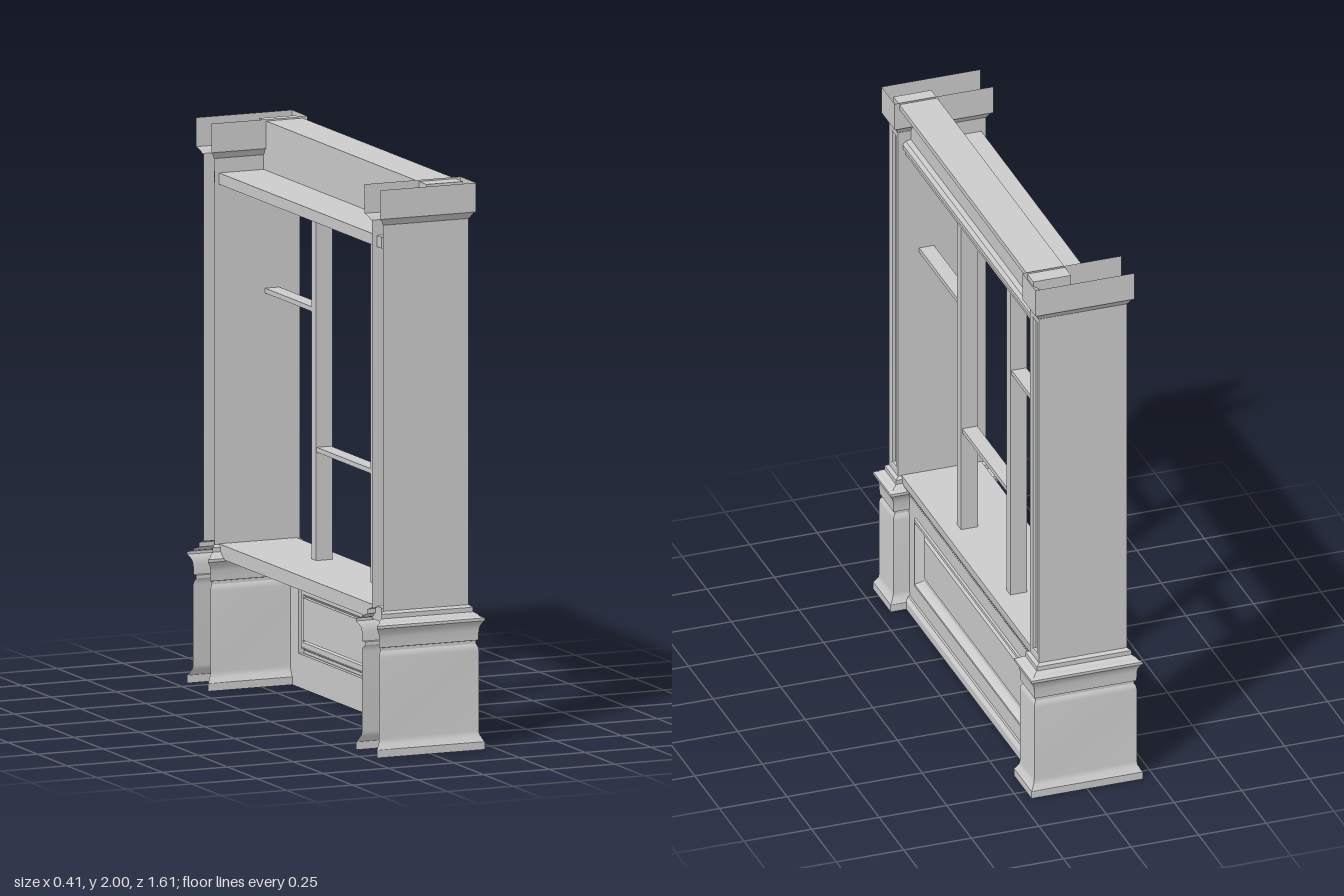
import * as THREE from 'three';
import { toCreasedNormals } from 'three/addons/utils/BufferGeometryUtils.js';

const material = new THREE.MeshStandardMaterial({ color: 0xcccccc, side: THREE.DoubleSide });

function add(parent, name, geometry, x = 0, y = 0, z = 0) {
  const mesh = new THREE.Mesh(geometry, material);
  mesh.name = name;
  mesh.position.set(x, y, z);
  parent.add(mesh);
  return mesh;
}

// Box given by its min/max on each axis
function box(parent, name, [x0, x1], [y0, y1], [z0, z1]) {
  return add(parent, name, new THREE.BoxGeometry(x1 - x0, y1 - y0, z1 - z0),
    (x0 + x1) / 2, (y0 + y1) / 2, (z0 + z1) / 2);
}

// Mitred moulding round a rectangle; profile is [offset, height].
// Sides: 0 = +z, 1 = +x, 2 = -z, 3 = -x
function rectSweep(profile, hx, hz, sides) {
  const corners = [[-1, 1], [1, 1], [1, -1], [-1, -1]];
  const pos = [];
  const point = (c, [o, y]) => [c[0] * (hx + o), y, c[1] * (hz + o)];
  for (const s of sides) {
    const a = corners[s], b = corners[(s + 1) % 4];
    for (let i = 0; i < profile.length - 1; i++) {
      const p = profile[i], q = profile[i + 1];
      const A = point(a, p), B = point(b, p), C = point(b, q), D = point(a, q);
      pos.push(...A, ...B, ...C, ...A, ...C, ...D);
    }
  }
  const g = new THREE.BufferGeometry();
  g.setAttribute('position', new THREE.Float32BufferAttribute(pos, 3));
  return toCreasedNormals(g, 0.5);
}

// Cross-section in x, y run along z
function run(points, length) {
  const shape = new THREE.Shape(points.map(([x, y]) => new THREE.Vector2(x, y)));
  const g = new THREE.ExtrudeGeometry(shape, { depth: length, bevelEnabled: false });
  g.translate(0, 0, -length / 2);
  return toCreasedNormals(g, 0.5);
}

// Flat frame facing +x with a rectangular opening
function frame(hz, y0, y1, holeZ, h0, h1, depth) {
  const rect = (Type, w, a, b) => new Type([[-w, a], [w, a], [w, b], [-w, b]]
    .map(([x, y]) => new THREE.Vector2(x, y)));
  const shape = rect(THREE.Shape, hz, y0, y1);
  shape.holes.push(rect(THREE.Path, holeZ, h0, h1));
  const g = new THREE.ExtrudeGeometry(shape, { depth, bevelEnabled: false });
  return g.rotateY(Math.PI / 2);
}

// Hollow column, open at the back
function createColumn() {
  const column = new THREE.Group();
  column.name = 'column';
  const hx = 0.163, hz = 0.046, open = [0, 1, 2];

  add(column, 'plinth', rectSweep([
    [0.043, 0], [0.043, 0.028], [0.038, 0.035], [0.033, 0.045], [0.029, 0.052], [0.027, 0.065],
    [0.027, 0.35], [0.025, 0.362], [0.019, 0.372], [0.019, 0.383],
  ], hx, hz, open));
  add(column, 'plinthMoulding', rectSweep([
    [0.019, 0.383], [0.026, 0.385], [0.027, 0.42], [0.03, 0.435], [0.036, 0.447], [0.043, 0.455],
    [0.043, 0.465], [0.03, 0.47], [0.024, 0.478], [0.012, 0.484], [0.012, 0.5], [0, 0.508],
  ], hx, hz, open));
  add(column, 'shaftSides', rectSweep([[0, 0.505], [0, 1.875]], hx, hz, [0, 2]));

  // Front face with a sunken panel
  add(column, 'shaftFront', frame(hz, 0.505, 1.875, 0.026, 0.527, 1.85, 0.014), hx - 0.014);
  const bead = rectSweep([[0, 0.001], [0, 0.004], [-0.006, 0.001], [-0.006, -0.012]],
    0.6615, 0.026, [0, 1, 2, 3]).rotateZ(-Math.PI / 2);
  add(column, 'shaftBead', bead, hx - 0.004, 1.1885);
  box(column, 'shaftPanel', [hx - 0.022, hx - 0.014], [0.52, 1.857], [-0.035, 0.035]);

  add(column, 'cap', rectSweep([
    [0, 1.872], [0.004, 1.876], [0.008, 1.885], [0.014, 1.892], [0.02, 1.897], [0.02, 2],
  ], hx, hz, open));
  return column;
}

export function createModel() {
  const model = new THREE.Group();
  model.name = 'displayFrame';

  // Columns at both ends
  for (const side of [-1, 1]) {
    const column = createColumn();
    column.name = side > 0 ? 'leftColumn' : 'rightColumn';
    column.position.z = side * 0.715;
    model.add(column);
  }

  // Bench shelf with moulded front edge
  add(model, 'benchTop', run([
    [-0.145, 0.46], [0.115, 0.46], [0.115, 0.44], [0.132, 0.44], [0.137, 0.452], [0.137, 0.462],
    [0.144, 0.468], [0.15, 0.48], [0.15, 0.51], [-0.145, 0.51],
  ], 1.42));

  // Lower front: frame, moulding and raised field
  add(model, 'lowerFrame', frame(0.69, 0, 0.46, 0.575, 0.12, 0.38, 0.015), 0.115);
  const moulding = rectSweep([
    [0.004, 0.13], [0.002, 0.138], [-0.008, 0.139], [-0.013, 0.13], [-0.02, 0.118], [-0.028, 0.113],
    [-0.045, 0.113], [-0.055, 0.122],
  ], 0.13, 0.575, [0, 1, 2, 3]).rotateZ(-Math.PI / 2);
  add(model, 'panelMoulding', moulding, 0, 0.25);
  box(model, 'panelField', [0.108, 0.122], [0.175, 0.325], [-0.52, 0.52]);
  add(model, 'baseboard', run([
    [0.115, 0], [0.148, 0], [0.148, 0.03], [0.138, 0.045], [0.115, 0.045],
  ], 1.38));

  // Posts and small shelves
  for (const z of [-0.25, 0.25]) {
    box(model, 'post', [0.028, 0.09], [0.5, 1.79], [z - 0.02, z + 0.02]);
  }
  box(model, 'middleShelf', [0.03, 0.085], [0.893, 0.91], [-0.232, 0.232]);
  for (const s of [-1, 1]) {
    const [a, b] = [s * 0.265, s * 0.67].sort((m, n) => m - n);
    box(model, 'sideShelf', [0.03, 0.085], [1.383, 1.4], [a, b]);
  }

  // Upper board and lintel with crown moulding
  box(model, 'upperBoard', [-0.145, 0.12], [1.78, 1.82], [-0.71, 0.71]);
  add(model, 'lintel', run([
    [0.025, 1.8], [0.11, 1.78], [0.135, 1.78], [0.135, 1.8], [0.145, 1.805], [0.145, 1.82],
    [0.135, 1.834], [0.115, 1.836], [0.115, 1.912], [0.122, 1.916], [0.124, 1.928], [0.13, 1.945],
    [0.141, 1.959], [0.155, 1.97], [0.165, 1.975], [0.165, 1.994], [0.025, 1.994],
  ], 1.42));

  return model;
}
